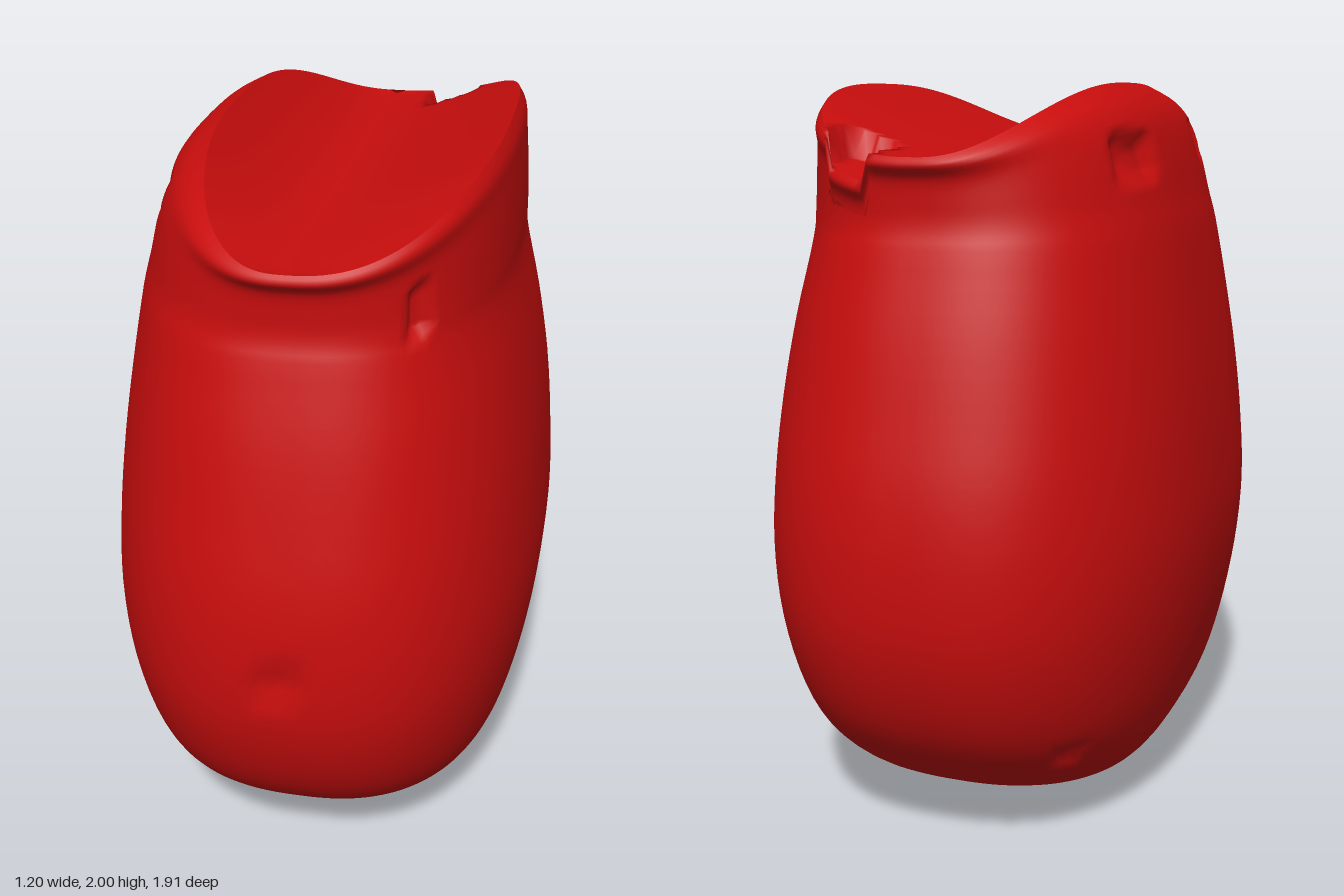
import * as THREE from 'three';

const SEG = 160, SUB = 4, N = 2.5;
const RIM_Z = 0.8, VALLEY = 1.81;

// cross-sections of the pouch: height, half-width on +x, half-width on -x, half-depth
const ROWS = [
  [0.0, 0.01, 0.01, 0.01], [0.005, 0.2, 0.2, 0.15], [0.045, 0.34, 0.34, 0.36], [0.12, 0.43, 0.43, 0.57],
  [0.25, 0.505, 0.505, 0.755], [0.4, 0.55, 0.55, 0.87], [0.6, 0.585, 0.585, 0.94], [0.8, 0.6, 0.6, 0.955],
  [1.0, 0.59, 0.59, 0.94], [1.2, 0.57, 0.57, 0.9], [1.4, 0.535, 0.54, 0.855], [1.6, 0.49, 0.505, 0.8],
  [1.7, 0.485, 0.48, 0.782], [1.8, 0.48, 0.455, 0.78], [1.9, 0.472, 0.42, 0.785], [1.96, 0.465, 0.37, 0.81],
  [2.0, 0.445, 0.3, RIM_Z],
];
const RIM = ROWS[ROWS.length - 1];

// small dents: x, y, z, half-width, half-height, depth
const DENTS = [
  [-0.43, 1.84, 0.33, 0.09, 0.055, 0.03], [-0.43, 1.81, -0.35, 0.12, 0.06, 0.03],
  [-0.39, 1.7, 0.7, 0.04, 0.07, 0.03], [-0.37, 1.69, -0.7, 0.04, 0.07, 0.03],
  [-0.37, 0.26, -0.67, 0.06, 0.06, 0.03], [0.32, 1.7, 0.69, 0.04, 0.07, 0.03],
  [0, 0.78, 0.95, 0.06, 0.06, 0.02],
];

const power = (v, e) => Math.sign(v) * Math.abs(v) ** e;
const rimHeight = (z) => 2 - 0.18 * Math.min(1, Math.abs(z) / RIM_Z) ** 2.6;

// rounded oval outline with separate widths on each side
function oval(j, [, right, left, depth]) {
  const a = (j / SEG) * Math.PI * 2, c = Math.cos(a);
  return [power(c, 2 / N) * (c > 0 ? right : left), power(Math.sin(a), 2 / N) * depth];
}

// torn notch at the back of the rim
function notch(x, y, z) {
  const inside = x > 0.13 && x < 0.27 && z < -0.58;
  return inside && y > 1.72 ? y - 0.07 : y;
}

function dent(x, y, z) {
  for (const [dx, dy, dz, w, h, depth] of DENTS) {
    const side = Math.hypot(x - dx, z - dz) / w, up = Math.abs(y - dy) / h;
    const near = Math.max(side, up);
    if (near < 1) {
      const nx = x / 0.25, nz = z / 0.8, len = Math.hypot(nx, nz);
      const d = depth * Math.min(1, (1 - near) * 3);
      x -= (d * nx) / len;
      z -= (d * nz) / len;
    }
  }
  return [x, y, z];
}

// Smooth interpolation between two neighbouring cross-sections
function section(i) {
  const k = Math.min(Math.floor(i), ROWS.length - 2), t = i - k;
  const row = (n) => ROWS[Math.max(0, Math.min(ROWS.length - 1, n))];
  return ROWS[k].map((_, c) => {
    const p0 = row(k - 1)[c], p1 = row(k)[c], p2 = row(k + 1)[c], p3 = row(k + 2)[c];
    const m1 = (p2 - p0) / 2, m2 = (p3 - p1) / 2;
    return p1 + t * (m1 + t * (3 * (p2 - p1) - 2 * m1 - m2 + t * (2 * (p1 - p2) + m1 + m2)));
  });
}

// Closed rings joined into one smooth surface
function loft(rings, pointAt) {
  const pos = [], index = [];
  for (let i = 0; i <= rings; i++) {
    for (let j = 0; j < SEG; j++) {
      pos.push(...pointAt(i, j));
      if (i === rings) continue;
      const a = i * SEG + j, b = i * SEG + ((j + 1) % SEG);
      index.push(a, a + SEG, b, b, a + SEG, b + SEG);
    }
  }
  const g = new THREE.BufferGeometry();
  g.setAttribute('position', new THREE.Float32BufferAttribute(pos, 3));
  g.setIndex(index);
  g.computeVertexNormals();
  return g;
}

export function createModel() {
  const group = new THREE.Group();
  group.name = 'pouch';
  const red = new THREE.MeshStandardMaterial({ color: 0xc80d0d, side: THREE.DoubleSide });
  red.name = 'red';

  // Bulging wall, whose upper rings follow the saddle-shaped rim
  const rings = (ROWS.length - 1) * SUB;
  const body = new THREE.Mesh(loft(rings, (i, j) => {
    const s = section(i / SUB);
    const [x, z] = oval(j, s);
    const top = rimHeight(oval(j, RIM)[1]);
    const y = s[0] <= 1.6 ? s[0] : 1.6 + ((s[0] - 1.6) / 0.4) * (top - 1.6);
    return dent(x, notch(x, y, z), z);
  }), red);
  body.name = 'body';

  // Folded top with a valley running front to back
  const capRings = 24;
  const top = new THREE.Mesh(loft(capRings, (i, j) => {
    const s = 1 - (i / capRings) * 0.999;
    const [rx, rz] = oval(j, RIM);
    const x = rx * s, z = rz * s;
    const width = (x > 0 ? RIM[1] : RIM[2]) * Math.max(0, 1 - Math.abs(z / RIM_Z) ** N) ** (1 / N);
    const t = Math.min(1, Math.abs(x) / Math.max(width, 1e-4));
    const y = VALLEY + (rimHeight(z) - VALLEY) * t ** (x > 0 ? 1.3 : 1.6);
    return [x, notch(x, y, z), z];
  }), red);
  top.name = 'foldedTop';

  group.add(body, top);
  return group;
}
